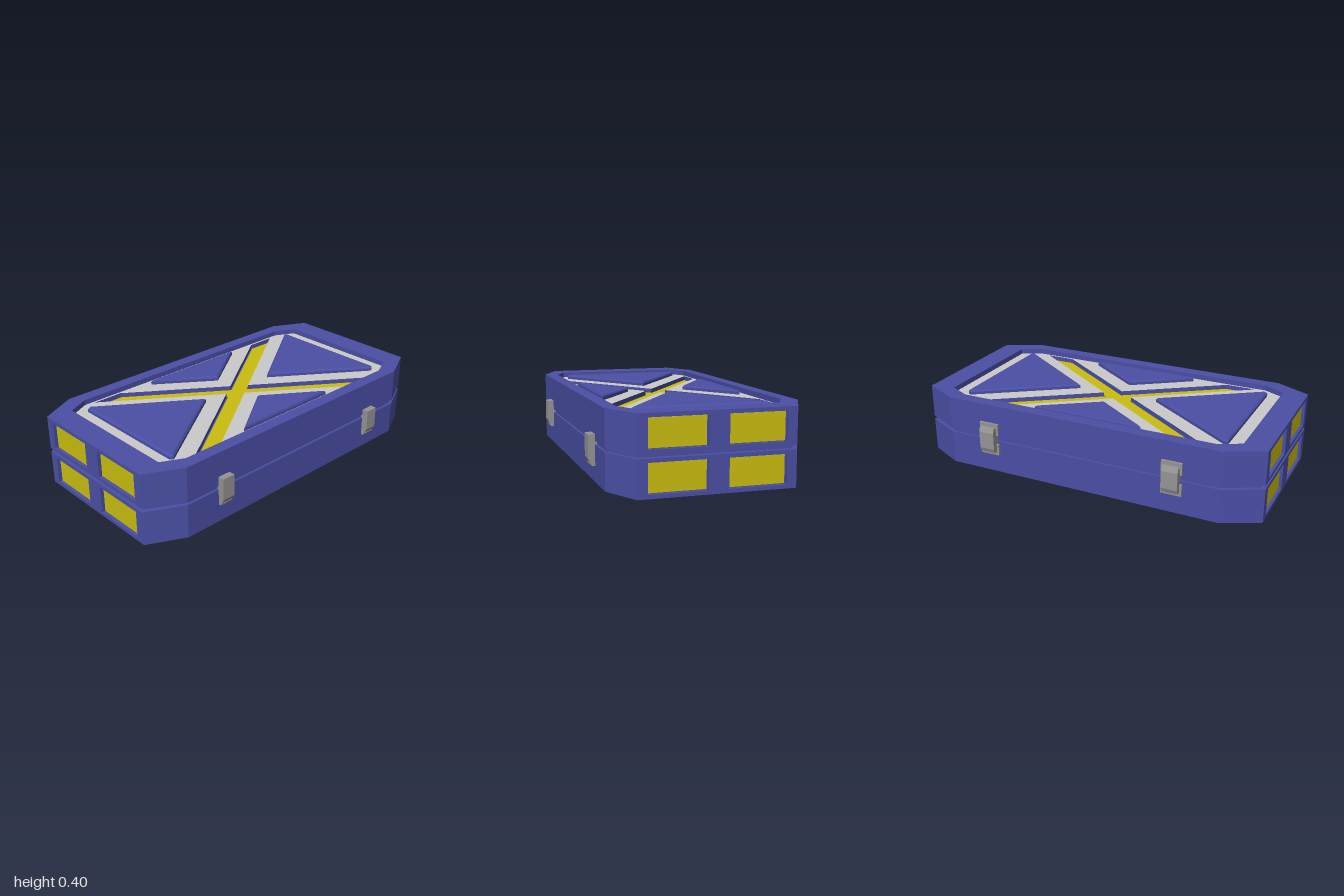
import * as THREE from 'three';

const mat = (color) => new THREE.MeshStandardMaterial({ color });
const blue = mat(0x4b4fa5), yellow = mat(0xcabe10), grey = mat(0xcccccc), steel = mat(0x959595);

const toShape = (pts) => new THREE.Shape(pts.map(([x, y]) => new THREE.Vector2(x, y)));

// Rectangle with cut corners: half sizes X, Z, cut from (cx, Z) to (X, cz)
const octagon = (X, Z, cx, cz) => [
  [X, -cz], [X, cz], [cx, Z], [-cx, Z], [-X, cz], [-X, -cz], [-cx, -Z], [cx, -Z],
];

// Diagonal cross clipped at x = +-e, arms 2w wide along z
function cross(w, e) {
  const k = 1.44, n = k * e;
  return [
    [w / k, 0], [e, n - w], [e, n + w], [0, w], [-e, n + w], [-e, n - w],
    [-w / k, 0], [-e, w - n], [-e, -w - n], [0, -w], [e, -w - n], [e, w - n],
  ];
}

// Plan outline raised from y0 to y1
function slab(name, pts, y0, y1, material, hole, bevel = 0) {
  const shape = toShape(pts);
  if (hole) shape.holes.push(toShape(hole));
  const geo = new THREE.ExtrudeGeometry(shape, {
    depth: y1 - y0 - 2 * bevel, bevelEnabled: bevel > 0, bevelThickness: bevel,
    bevelSize: bevel, bevelOffset: -bevel, bevelSegments: 1,
  });
  geo.translate(0, 0, bevel).rotateX(-Math.PI / 2).translate(0, y0, 0);
  const mesh = new THREE.Mesh(geo, material);
  mesh.name = name;
  return mesh;
}

// Side profile in x, y pulled along z and centred on z
function bracket(name, pts, width, z, y = 0) {
  const geo = new THREE.ExtrudeGeometry(toShape(pts), { depth: width, bevelEnabled: false });
  geo.translate(0, y, z - width / 2);
  const mesh = new THREE.Mesh(geo, steel);
  mesh.name = name;
  return mesh;
}

const outer = octagon(0.5, 1, 0.4, 0.8);
const recess = octagon(0.43, 0.865, 0.37, 0.745);

// Outline with two shallow pockets in each end
function pocketed() {
  const d = 0.98, end = [
    [0.4, 1], [0.35, 1], [0.35, d], [0.052, d], [0.052, 1],
    [-0.052, 1], [-0.052, d], [-0.35, d], [-0.35, 1], [-0.4, 1],
  ];
  return [
    [0.5, -0.8], [0.5, 0.8], ...end,
    [-0.5, 0.8], [-0.5, -0.8], ...end.map(([x, z]) => [-x, -z]),
  ];
}

// One shell, from the seam at y = 0 to the outer face at y = 0.19
function caseHalf(name) {
  const g = new THREE.Group();
  g.name = name;
  const walls = pocketed();
  g.add(
    slab('seamRim', outer, 0, 0.02, blue),
    slab('shellBody', walls, 0.02, 0.135, blue),
    slab('shellWall', walls, 0.135, 0.17, blue, recess),
    slab('outerRim', outer, 0.17, 0.19, blue, recess),
    // grey floor whose cut edges are blue
    slab('recessFloor', recess, 0.135, 0.16, [grey, blue], cross(0.085, 0.418)),
    slab('crossInlay', cross(0.072, 0.408), 0.13, 0.138, yellow),
  );
  // raised triangles between the arms
  for (const s of [1, -1]) {
    const endTri = [[0, 0.24], [0.36, 0.762], [0.348, 0.78], [-0.348, 0.78], [-0.36, 0.762]];
    const sideTri = [[0.165, 0], [0.388, -0.318], [0.388, 0.318]];
    for (const [n, t] of [['endTriangle', endTri], ['sideTriangle', sideTri]])
      g.add(slab(n, t.map(([x, z]) => [s * x, s * z]), 0.14, 0.185, blue, null, 0.009));
    // yellow plates in the end pockets
    for (const x of [-0.2, 0.2]) {
      const plate = new THREE.Mesh(new THREE.BoxGeometry(0.286, 0.142, 0.02), yellow);
      plate.name = 'endPlate';
      plate.position.set(x, 0.095, s * 0.974);
      g.add(plate);
    }
  }
  return g;
}

export function createModel() {
  const model = new THREE.Group();
  model.name = 'case';

  const lid = caseHalf('lid');
  lid.position.y = 0.21;
  const base = caseHalf('base');
  base.rotation.z = Math.PI;
  base.position.y = 0.19;
  model.add(lid, base, slab('seam', octagon(0.487, 0.97, 0.39, 0.785), 0.18, 0.22, blue));

  for (const s of [1, -1]) {
    // slim latches on the left side
    const latch = new THREE.Group();
    latch.name = 'latch';
    const lift = s > 0 ? 0.02 : 0;
    latch.add(
      bracket('latchBody', [[0.49, 0.082], [0.517, 0.082], [0.536, 0.122], [0.536, 0.243], [0.49, 0.243]],
        0.074, s * 0.562, lift),
      bracket('latchLip', [[0.5, 0.09], [0.526, 0.09], [0.53, 0.1], [0.5, 0.1]], 0.054, s * 0.562, lift),
    );
    // wide hinges on the right side
    const hinge = new THREE.Group();
    hinge.name = 'hinge';
    hinge.add(
      bracket('hingeKnuckle', [[-0.49, 0.128], [-0.532, 0.128], [-0.541, 0.152], [-0.541, 0.248],
        [-0.531, 0.274], [-0.49, 0.274]], 0.09, s * 0.543),
      bracket('upperLeaf', [[-0.49, 0.228], [-0.513, 0.228], [-0.513, 0.294], [-0.49, 0.294]], 0.115, s * 0.543),
      bracket('lowerLeaf', [[-0.49, 0.108], [-0.513, 0.108], [-0.513, 0.174], [-0.49, 0.174]], 0.115, s * 0.543),
    );
    model.add(latch, hinge);
  }
  return model;
}
